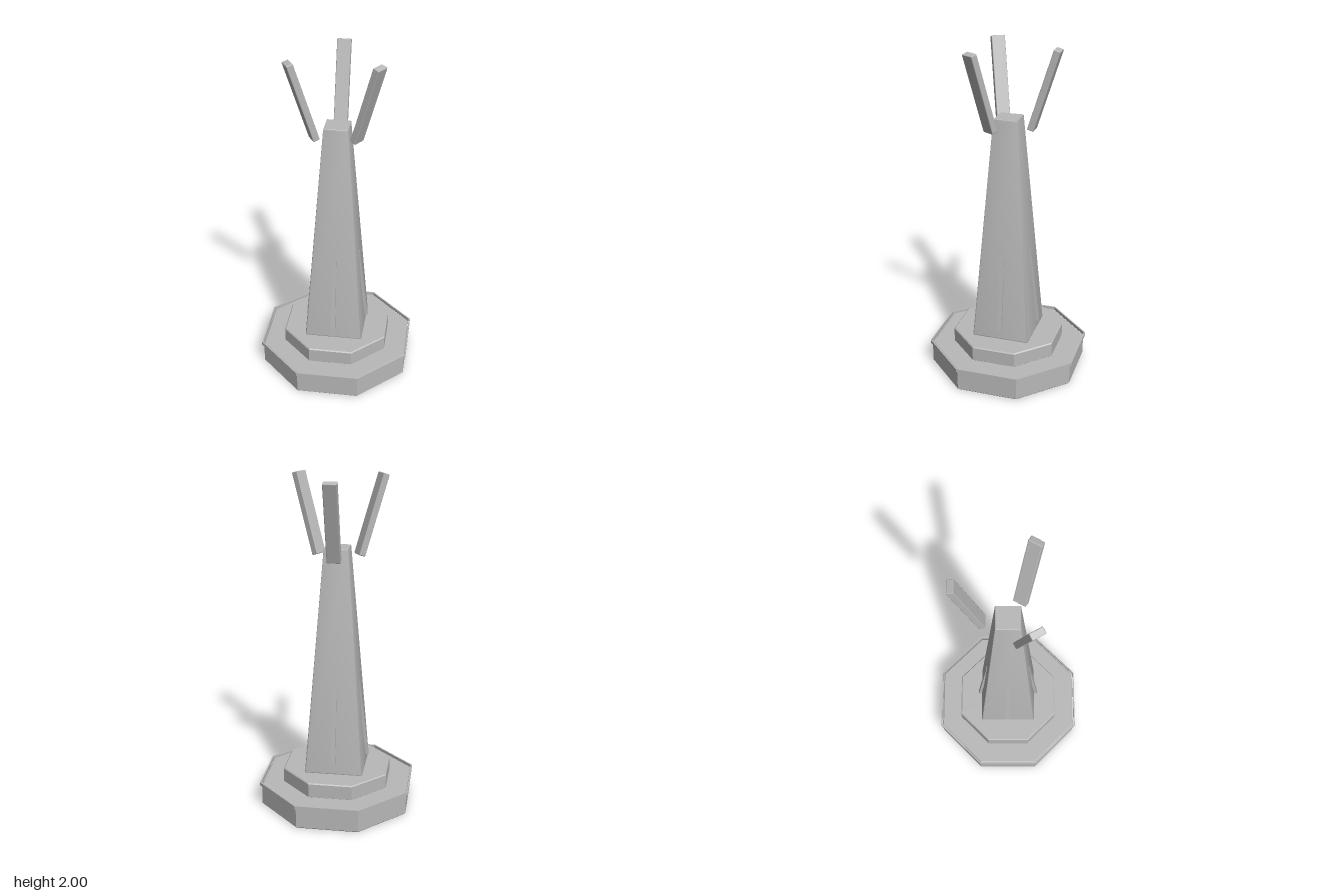
import * as THREE from 'three';
import { toCreasedNormals } from 'three/addons/utils/BufferGeometryUtils.js';
import { RoundedBoxGeometry } from 'three/addons/geometries/RoundedBoxGeometry.js';

export function createModel() {
  const model = new THREE.Group();
  model.name = 'monument';
  const stone = new THREE.MeshStandardMaterial({ color: 0xb8b8b8 });
  stone.name = 'grey stone';

  function add(name, geometry, parent = model) {
    const mesh = new THREE.Mesh(geometry, stone);
    mesh.name = name;
    parent.add(mesh);
    return mesh;
  }

  // Regular octagon with flat sides on the axes; points are [apothem, y]
  function octagon(profile) {
    const k = 1 / Math.cos(Math.PI / 8);
    const points = profile.map(([r, y]) => new THREE.Vector2(r * k, y));
    return toCreasedNormals(new THREE.LatheGeometry(points, 8, Math.PI / 8), 0.4);
  }

  // Octagonal slab with a small chamfer on both edges
  function slab(r, y0, y1, b) {
    return octagon([[0, y0], [r - b, y0], [r, y0 + b], [r, y1 - b], [r - b, y1], [0, y1]]);
  }

  // Stepped base with a thin lip around the lower step
  add('lowerStep', slab(0.44, 0, 0.14, 0.007));
  add('upperStep', slab(0.313, 0.135, 0.23, 0.006));
  add('baseLip', octagon([[0.444, 0.13], [0.452, 0.13], [0.452, 0.15], [0.444, 0.15], [0.444, 0.13]]));

  // Square tower, narrowing evenly to the top
  const y0 = 0.228, y1 = 1.59, bottom = 0.175, top = 0.07;
  const tower = new RoundedBoxGeometry(2 * bottom, y1 - y0, 2 * bottom, 1, 0.007);
  tower.translate(0, (y0 + y1) / 2, 0);
  const p = tower.attributes.position;
  for (let i = 0; i < p.count; i++) {
    const t = (p.getY(i) - y0) / (y1 - y0);
    const s = THREE.MathUtils.lerp(1, top / bottom, t);
    p.setXYZ(i, p.getX(i) * s, p.getY(i), p.getZ(i) * s);
  }
  add('tower', toCreasedNormals(tower, 0.4));

  // Slim ribs leaning on the four faces
  for (let i = 0; i < 4; i++) {
    const pivot = new THREE.Group();
    pivot.name = 'ribPivot';
    pivot.rotation.y = i * Math.PI / 2;
    model.add(pivot);
    const rib = add('rib', new THREE.BoxGeometry(0.026, 0.47, 0.016), pivot);
    rib.position.set(0, 0.535, 0.156);
    rib.rotation.x = -0.122;
  }

  // Three bars spreading outward above the tower
  const bar = new RoundedBoxGeometry(0.08, 0.487, 0.04, 1, 0.005);
  for (let i = 0; i < 3; i++) {
    const pivot = new THREE.Group();
    pivot.name = 'barPivot';
    pivot.rotation.y = Math.PI + i * Math.PI * 2 / 3;
    model.add(pivot);
    const mesh = add('bar', bar, pivot);
    mesh.position.set(0, 1.762, 0.212);
    mesh.rotation.x = 0.31;
  }
  return model;
}
